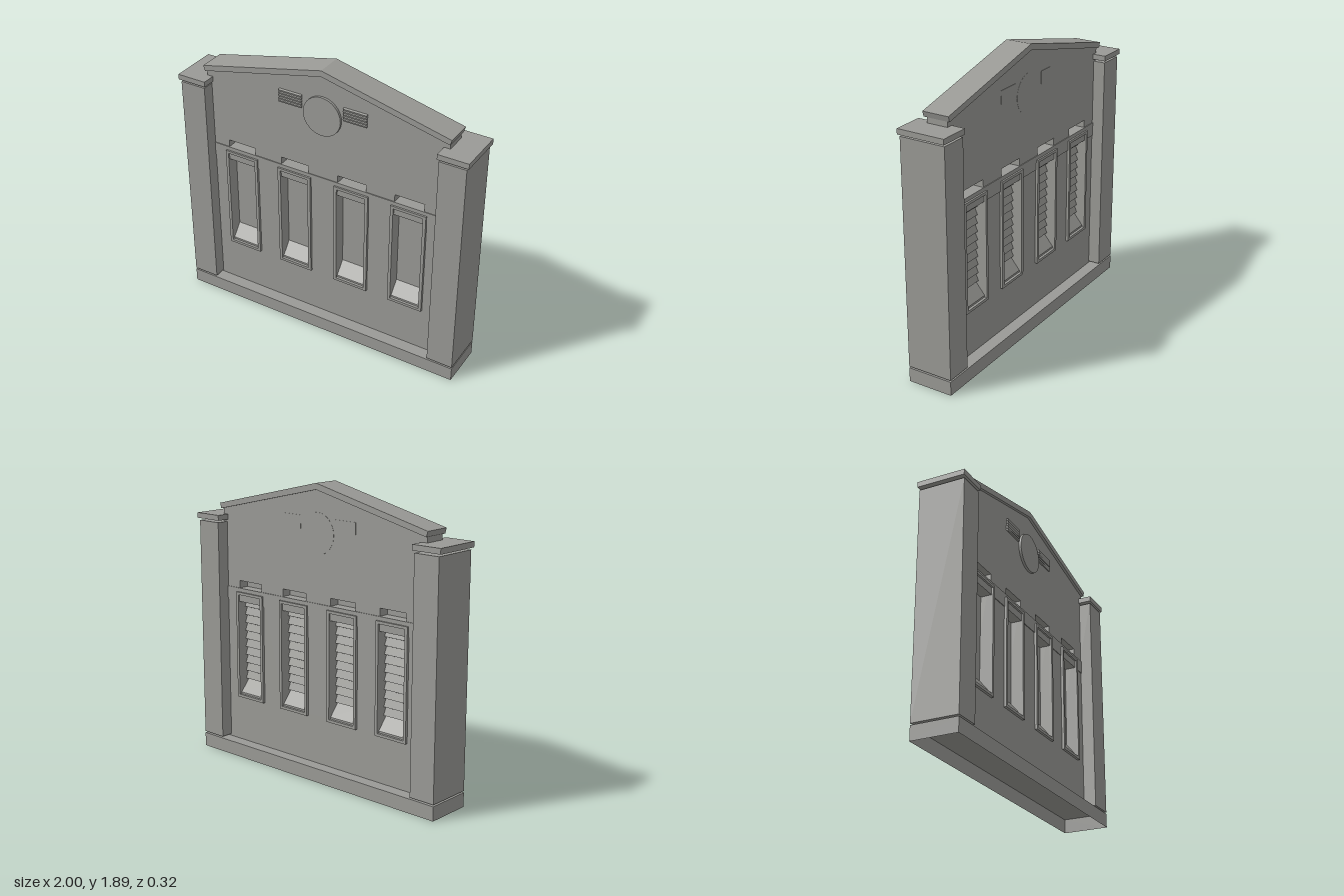
import * as THREE from 'three';

const stone = new THREE.MeshStandardMaterial({ color: 0x9a9a96, side: THREE.DoubleSide });
stone.name = 'stone grey';

const WALL = 0.07; // half thickness of the wall

function add(parent, name, geometry) {
  const mesh = new THREE.Mesh(geometry, stone);
  mesh.name = name;
  parent.add(mesh);
  return mesh;
}

// Box given by its minimum and maximum on each axis
function block(parent, name, x0, x1, y0, y1, z0, z1) {
  const mesh = add(parent, name, new THREE.BoxGeometry(x1 - x0, y1 - y0, z1 - z0));
  mesh.position.set((x0 + x1) / 2, (y0 + y1) / 2, (z0 + z1) / 2);
  return mesh;
}

function outline(points) {
  return new THREE.Shape(points.map(([x, y]) => new THREE.Vector2(x, y)));
}

function rect(x0, x1, y0, y1) {
  return outline([[x0, y0], [x1, y0], [x1, y1], [x0, y1]]);
}

// Shape extruded from z0 to z1
function slab(parent, name, shape, z0, z1) {
  const geometry = new THREE.ExtrudeGeometry(shape, { depth: z1 - z0, bevelEnabled: false });
  geometry.translate(0, 0, z0);
  return add(parent, name, geometry);
}

function addWindow(parent, x) {
  const win = new THREE.Group();
  win.name = 'window';
  win.position.x = x;
  parent.add(win);

  block(win, 'pane', -0.1, 0.1, 0.45, 1.19, -0.003, 0.003);

  // Sill sloping down to both faces, profile drawn across the wall
  const sill = new THREE.ExtrudeGeometry(
    outline([[-WALL, 0.41], [WALL, 0.41], [WALL, 0.425], [0, 0.51], [-WALL, 0.425]]),
    { depth: 0.2, bevelEnabled: false });
  sill.rotateY(-Math.PI / 2).translate(0.1, 0, 0);
  add(win, 'sill', sill);

  // Overlapping slats behind the pane
  for (let i = 0; i < 10; i++) {
    const slat = add(win, 'slat', new THREE.BoxGeometry(0.2, 0.06, 0.005));
    slat.position.set(0, 0.54 + i * 0.055, -0.012);
    slat.rotation.x = 0.4;
  }

  // Raised frame on both faces
  const frame = rect(-0.12, 0.12, 0.395, 1.115);
  frame.holes.push(rect(-0.1, 0.1, 0.413, 1.097));
  slab(win, 'frontFrame', frame, WALL, 0.087);
  slab(win, 'backFrame', frame, -0.087, -WALL);
}

export function createModel() {
  const model = new THREE.Group();
  model.name = 'gableWall';
  const windows = [-0.6, -0.205, 0.205, 0.6];

  // Base, hollow and open underneath
  const base = new THREE.BoxGeometry(1.97, 0.092, 0.302);
  const index = Array.from(base.index.array);
  index.splice(18, 6); // drop the bottom face
  base.setIndex(index);
  base.clearGroups();
  add(model, 'base', base).position.y = 0.046;

  // Gabled wall with window openings
  const wall = outline([[-0.84, 0.09], [0.84, 0.09], [0.84, 1.657], [0, 1.852], [-0.84, 1.657]]);
  for (const x of windows) wall.holes.push(rect(x - 0.1, x + 0.1, 0.41, 1.19));
  slab(model, 'wall', wall, -WALL, WALL);

  // Gable coping
  slab(model, 'coping', outline([
    [-0.845, 1.655], [0, 1.85], [0.845, 1.655], [0.855, 1.69], [0, 1.89], [-0.855, 1.69],
  ]), -0.088, 0.088);

  // Pillars and caps
  for (const s of [-1, 1]) {
    const pillar = add(model, 'pillar', new THREE.BoxGeometry(0.175, 1.467, 0.302));
    pillar.position.set(s * 0.8975, 0.8365, 0);
    const cap = add(model, 'pillarCap', new THREE.BoxGeometry(0.2, 0.035, 0.316));
    cap.position.set(s * 0.9, 1.602, 0);
  }

  // Horizontal band across the window heads
  block(model, 'lintelBand', -0.812, 0.812, 1.05, 1.14, -0.075, 0.075);

  for (const x of windows) addWindow(model, x);

  // Round plaque
  const plaque = new THREE.CylinderGeometry(0.13, 0.13, 0.157, 48);
  plaque.rotateX(Math.PI / 2);
  add(model, 'roundPlaque', plaque).position.set(0, 1.58, 0.0075);

  // Vents with slats on the front and a flush plate on the back
  for (const s of [-1, 1]) {
    const vent = new THREE.Group();
    vent.name = 'vent';
    vent.position.set(s * 0.225, 0, 0);
    model.add(vent);
    block(vent, 'ventBackPlate', -0.08, 0.08, 1.595, 1.68, -0.072, -0.068);
    for (let i = 0; i < 5; i++) {
      const slat = add(vent, 'ventSlat', new THREE.BoxGeometry(0.16, 0.012, 0.016));
      slat.position.set(0, 1.602 + i * 0.018, 0.075);
      slat.rotation.x = 0.3;
    }
  }

  return model;
}
